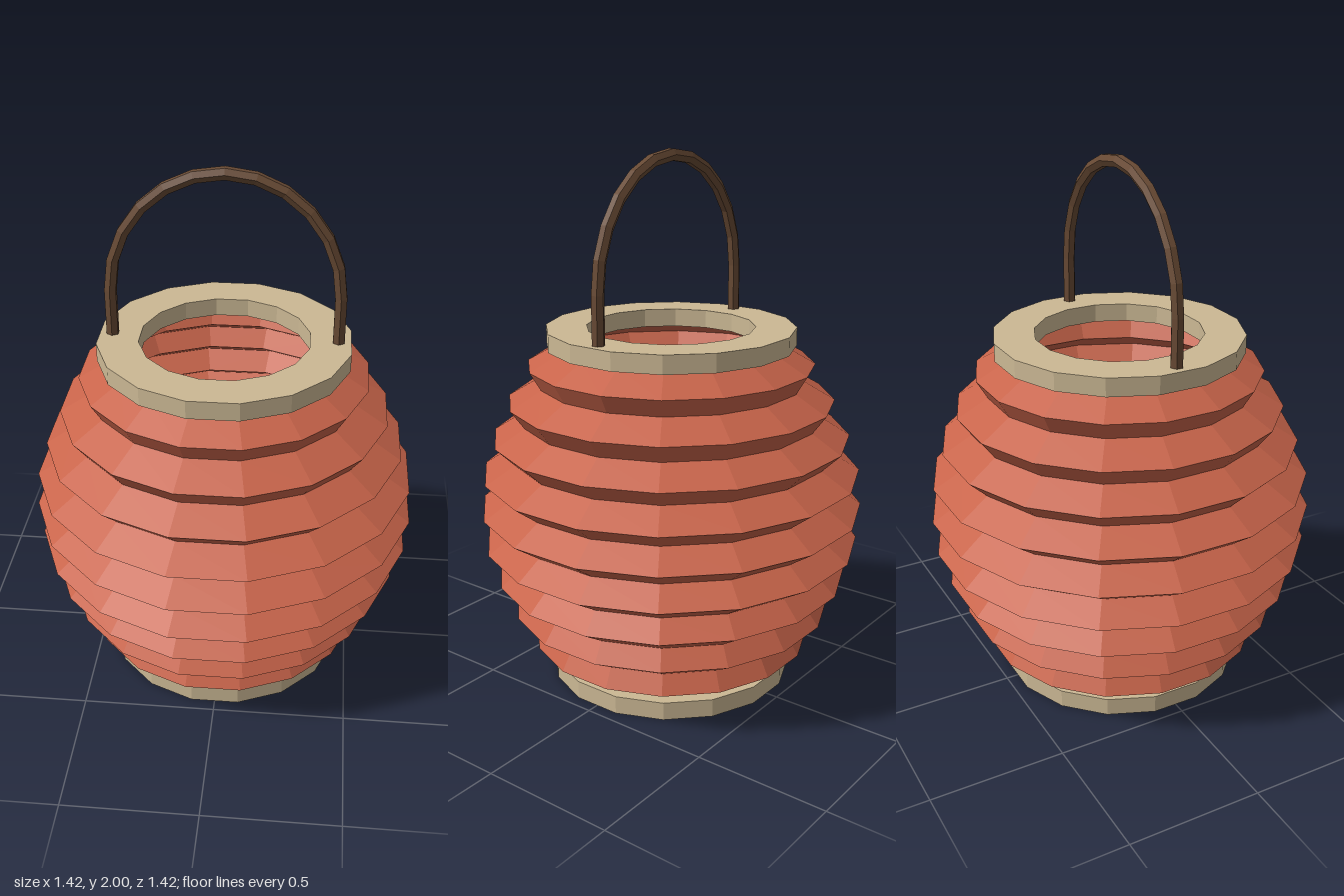
import * as THREE from 'three';

const SIDES = 16;
const PHASE = Math.PI / SIDES; // flat facets face the axes

// Faceted surface of revolution from [radius, y] pairs
function lathe(points) {
  return new THREE.LatheGeometry(points.map(([r, y]) => new THREE.Vector2(r, y)), SIDES, PHASE);
}

// Polyline that keeps its own points as the tube's sample stations
class Polyline extends THREE.Curve {
  constructor(points) {
    super();
    this.points = points;
  }
  getPoint(t, target = new THREE.Vector3()) {
    const last = this.points.length - 1;
    const i = Math.min(Math.floor(t * last + 1e-9), last - 1);
    return target.lerpVectors(this.points[i], this.points[i + 1], t * last - i);
  }
  getUtoTmapping(u) {
    return u;
  }
}

export function createModel() {
  const paper = new THREE.MeshStandardMaterial({ color: 0xc8644a, flatShading: true, side: THREE.DoubleSide });
  paper.name = 'red paper';
  const wood = new THREE.MeshStandardMaterial({ color: 0xcbb894, flatShading: true });
  wood.name = 'pale wood';
  const cane = new THREE.MeshStandardMaterial({ color: 0x684a34, flatShading: true });
  cane.name = 'brown cane';

  const group = new THREE.Group();
  group.name = 'paperLantern';
  const add = (name, geometry, material) => {
    const mesh = new THREE.Mesh(geometry, material);
    mesh.name = name;
    group.add(mesh);
    return mesh;
  };

  // Pleated shade: alternating folds, mirrored about the middle
  const half = [0.413, 0.534, 0.494, 0.61, 0.56, 0.67, 0.6, 0.712, 0.622];
  const radii = [...half, 0.723, ...half.slice().reverse()];
  const bottom = 0.068, top = 1.294;
  const step = (top - bottom) / (radii.length - 1);
  add('pleatedShade', lathe(radii.map((r, i) => [r, bottom + i * step])), paper);

  // Open wooden rings at both ends
  const inner = 0.312, outer = 0.463, height = 0.068;
  const ring = lathe([[inner, 0], [outer, 0], [outer, height], [inner, height], [inner, 0]]);
  add('bottomRing', ring, wood);
  add('topRing', ring, wood).position.y = top;

  // Handle: straight legs and an arch between them
  const span = 0.408, spring = 1.535, rise = 0.442;
  const path = [new THREE.Vector3(-span, 1.35, 0)];
  for (let i = 0; i <= 12; i++) {
    const a = Math.PI * (1 - i / 12);
    path.push(new THREE.Vector3(span * Math.cos(a), spring + rise * Math.sin(a), 0));
  }
  path.push(new THREE.Vector3(span, 1.35, 0));
  add('handle', new THREE.TubeGeometry(new Polyline(path), path.length - 1, 0.024, 6), cane);

  return group;
}
